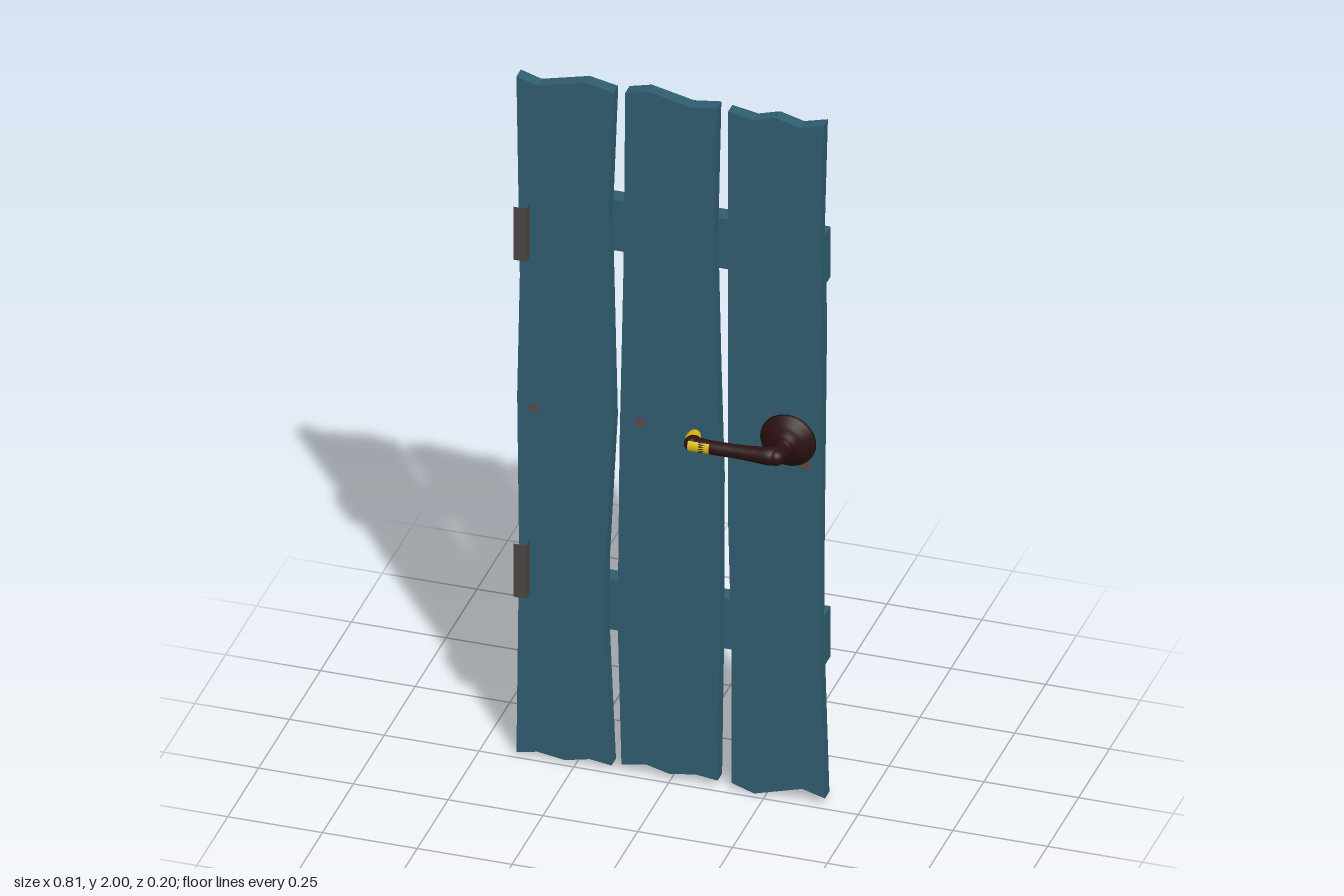
import * as THREE from 'three';

const mat = (name, color) => {
  const m = new THREE.MeshStandardMaterial({ color });
  m.name = name;
  return m;
};

export function createModel() {
  const wood = mat('blue wood', 0x305d6f);
  const iron = mat('hinge iron', 0x4c4543);
  const nail = mat('nail brown', 0x5a4a48);
  const dark = mat('dark handle', 0x2b1011);
  const gold = mat('gold', 0xd9b810);
  const door = new THREE.Group();
  door.name = 'door';

  const add = (name, geometry, material, x = 0, y = 0, z = 0, parent = door) => {
    const mesh = new THREE.Mesh(geometry, material);
    mesh.name = name;
    mesh.position.set(x, y, z);
    parent.add(mesh);
    return mesh;
  };

  // Three rough planks, outlined clockwise from the top left
  const back = -0.053, front = -0.017;
  const planks = {
    rightPlank: [[-0.407, 1.98], [-0.352, 1.963], [-0.225, 1.995], [-0.15, 1.98],
      [-0.164, 1.6], [-0.151, 1.02], [-0.172, 0.6], [-0.172, 0.39], [-0.156, 0.012],
      [-0.214, 0.02], [-0.278, 0.005], [-0.352, 0.016], [-0.407, 0.005],
      [-0.4, 0.6], [-0.405, 1.05], [-0.398, 1.4]],
    middlePlank: [[-0.12, 1.985], [-0.061, 2], [0.05, 1.975], [0.122, 1.985],
      [0.114, 1.6], [0.122, 1.23], [0.131, 0.9], [0.129, 0.4], [0.124, 0.02],
      [0.066, 0.027], [-0.003, 0.016], [-0.066, 0.032], [-0.13, 0.02],
      [-0.14, 0.44], [-0.135, 0.95], [-0.124, 1.5]],
    leftPlank: [[0.151, 1.98], [0.22, 1.968], [0.278, 1.985], [0.341, 1.968], [0.403, 1.985],
      [0.395, 1.67], [0.401, 1.4], [0.395, 0.8], [0.393, 0.5], [0.407, 0.02],
      [0.347, 0.037], [0.22, 0], [0.161, 0.02], [0.161, 0.39], [0.151, 0.8]],
  };
  for (const [name, pts] of Object.entries(planks)) {
    const shape = new THREE.Shape(pts.map(([x, y]) => new THREE.Vector2(x, y)));
    add(name, new THREE.ExtrudeGeometry(shape, { depth: front - back, bevelEnabled: false }), wood, 0, 0, back);
  }

  // Cross braces on the back
  for (const [name, y] of [['upperBrace', 1.57], ['lowerBrace', 0.46]]) {
    add(name, new THREE.BoxGeometry(0.78, 0.146, 0.047), wood, 0.005, y, -0.0765);
  }

  // Open-ended square hinge sleeves
  const sleeve = new THREE.CylinderGeometry(Math.SQRT1_2, Math.SQRT1_2, 1, 4, 1, true)
    .rotateY(Math.PI / 4).scale(0.034, 0.155, 0.031).toNonIndexed();
  sleeve.computeVertexNormals();
  for (const [name, y] of [['upperHinge', 1.54], ['lowerHinge', 0.555]]) {
    add(name, sleeve, iron, -0.388, y, -0.0015);
  }

  // Small nail heads on both faces
  const head = new THREE.CylinderGeometry(0.014, 0.014, 0.003, 12).rotateX(Math.PI / 2);
  for (const [x, y, z] of [[-0.36, 1.02, front], [-0.08, 1.03, front], [0.355, 0.985, front],
    [-0.2, 1.03, back], [0.08, 1.03, back], [0.19, 1, back]]) {
    add('nailHead', head, nail, x, y, z);
  }

  // Handle: turned rosette, bent lever and gold tip
  const handle = new THREE.Group();
  handle.name = 'handle';
  handle.position.y = 1.05;
  door.add(handle);

  const rosette = [[0, 0], [0.074, 0], [0.071, 0.006], [0.058, 0.013], [0.052, 0.02],
    [0.042, 0.025], [0.028, 0.03], [0.023, 0.038], [0.021, 0.05], [0, 0.05]];
  add('rosette', new THREE.LatheGeometry(rosette.map(([r, h]) => new THREE.Vector2(r, h)), 32)
    .rotateX(Math.PI / 2), dark, 0.31, 0, front, handle);

  // Tube whose radius follows a list of evenly spaced values
  const taperedTube = (points, radii) => {
    const curve = new THREE.CatmullRomCurve3(points.map(([x, z]) => new THREE.Vector3(x, 0, z)), false, 'centripetal');
    const rings = 48, sides = 20;
    const geo = new THREE.TubeGeometry(curve, rings, 1, sides);
    const pos = geo.attributes.position, v = new THREE.Vector3();
    for (let i = 0; i <= rings; i++) {
      const centre = curve.getPointAt(i / rings);
      const t = (i / rings) * (radii.length - 1), k = Math.min(Math.floor(t), radii.length - 2);
      const r = THREE.MathUtils.lerp(radii[k], radii[k + 1], t - k);
      for (let j = 0; j <= sides; j++) {
        const n = i * (sides + 1) + j;
        v.fromBufferAttribute(pos, n).sub(centre).multiplyScalar(r).add(centre);
        pos.setXYZ(n, v.x, v.y, v.z);
      }
    }
    geo.computeVertexNormals();
    return geo;
  };
  add('lever', taperedTube([[0.308, 0.02], [0.308, 0.045], [0.304, 0.062], [0.29, 0.071], [0.26, 0.074],
    [0.2, 0.076], [0.13, 0.077], [0.1, 0.075], [0.087, 0.068], [0.083, 0.06]],
  [0.021, 0.022, 0.024, 0.021, 0.019, 0.018, 0.018, 0.018, 0.019, 0.02]), dark, 0, 0, 0, handle);
  add('leverCorner', new THREE.SphereGeometry(0.022, 20, 14), dark, 0.307, 0, 0.072, handle);
  add('leverEnd', new THREE.SphereGeometry(0.02, 20, 14), dark, 0.085, 0, 0.0735, handle);
  add('goldTip', taperedTube([[0.086, 0.066], [0.082, 0.055], [0.08, 0.038]], [0.0215, 0.02, 0.017]), gold, 0, 0, 0, handle);
  add('goldTipEnd', new THREE.SphereGeometry(0.017, 20, 14), gold, 0.08, 0, 0.037, handle);

  // Gold inlay curved over the front of the lever
  const inlay = new THREE.CylinderGeometry(0.0185, 0.0185, 0.056, 16, 1, false, -0.95, 1.9).rotateZ(Math.PI / 2);
  add('goldInlay', inlay, gold, 0.108, 0, 0.0768, handle);

  return door;
}
